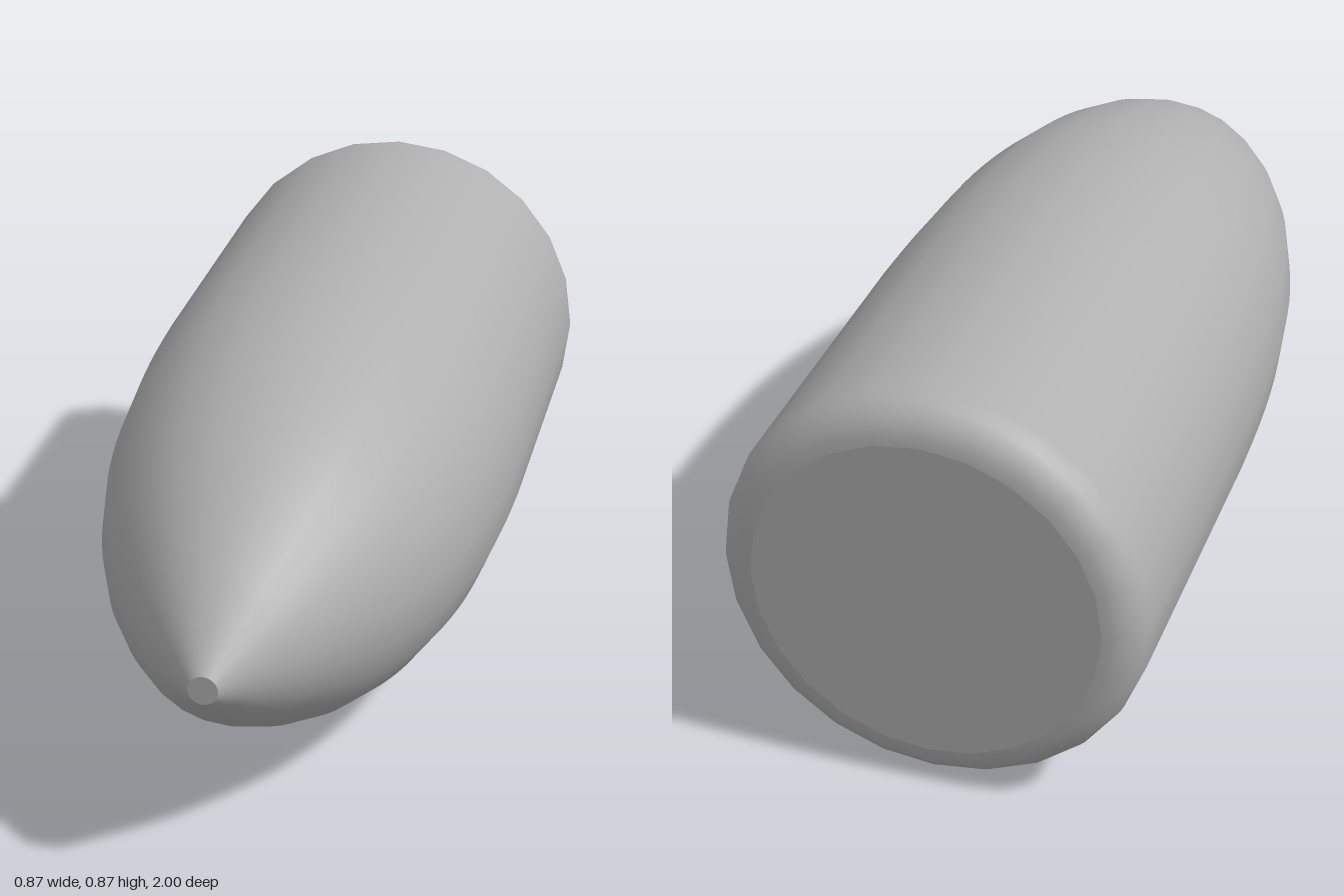
import * as THREE from 'three';

const SIDES = 24;
const RADIUS = 0.435;
const FILLET = 0.08;
const TIP = 0.03;

export function createModel() {
  const model = new THREE.Group();
  model.name = 'ogiveBody';
  const grey = new THREE.MeshStandardMaterial({ color: 0xb0b0b0 });
  grey.name = 'plain grey';

  const add = (name, geometry, z = 0) => {
    const mesh = new THREE.Mesh(geometry, grey);
    mesh.name = name;
    mesh.position.set(0, 0.437, z);
    model.add(mesh);
  };

  // rounded rear edge, as (radius, z) pairs
  const profile = [];
  for (let i = 0; i <= 6; i++) {
    const a = (i / 6) * Math.PI / 2;
    profile.push(new THREE.Vector2(
      RADIUS - FILLET + FILLET * Math.sin(a),
      -1 + FILLET - FILLET * Math.cos(a)));
  }

  // straight barrel up to the curved nose
  const nose = new THREE.SplineCurve([
    [RADIUS, -0.2], [0.428, 0], [0.409, 0.2], [0.37, 0.4],
    [0.302, 0.6], [0.192, 0.8], [0.118, 0.9], [TIP, 1],
  ].map(([r, z]) => new THREE.Vector2(r, z)));
  profile.push(...nose.getPoints(28));

  // smooth shell, turned so its axis runs along z
  add('shell', new THREE.LatheGeometry(profile, SIDES).rotateX(Math.PI / 2));

  // flat ends
  add('noseTip', new THREE.CircleGeometry(TIP, SIDES), 1);
  add('rearCap', new THREE.CircleGeometry(RADIUS - FILLET, SIDES).rotateY(Math.PI), -1);

  return model;
}
